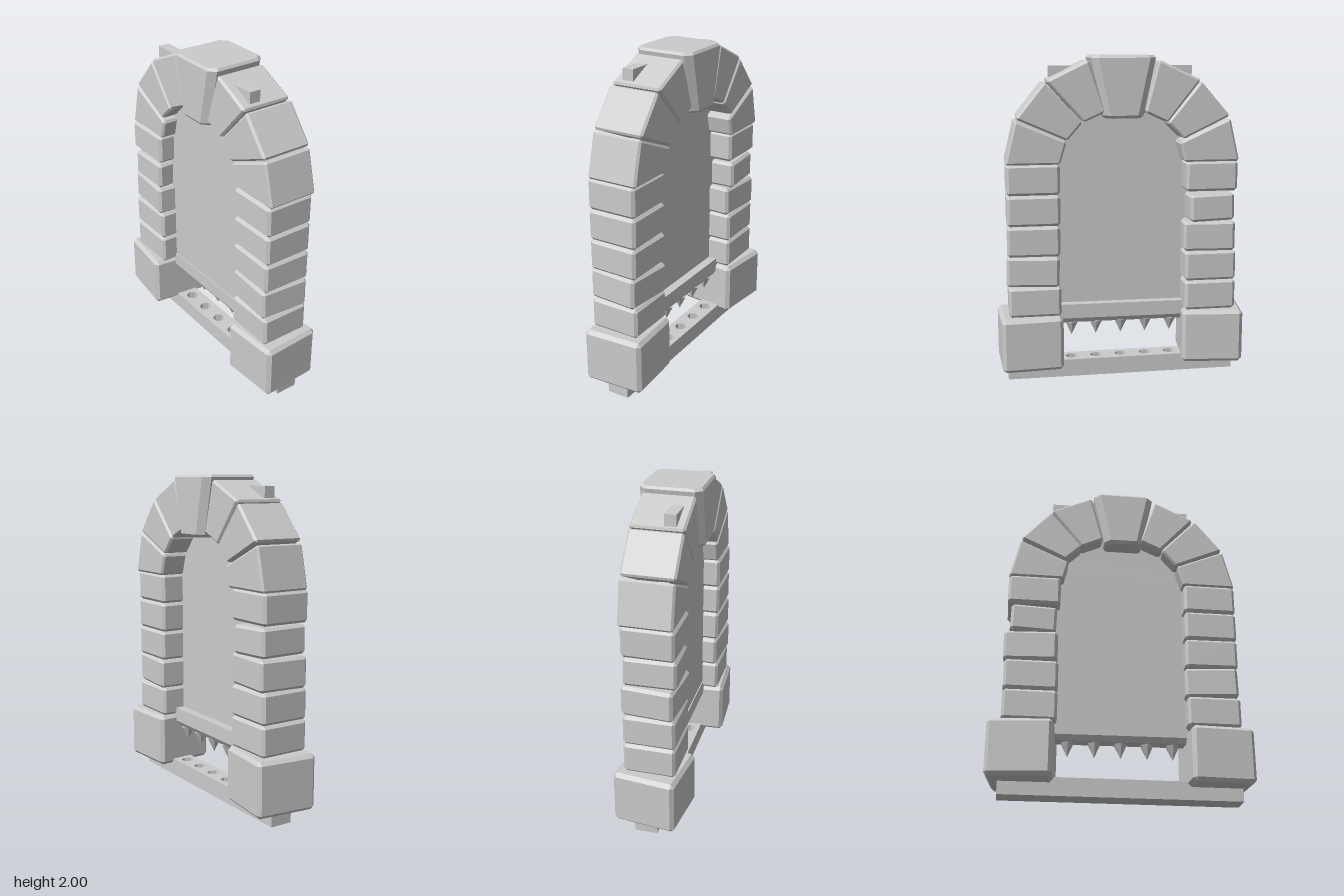
import * as THREE from 'three';
import { ConvexGeometry } from 'three/addons/geometries/ConvexGeometry.js';

const material = new THREE.MeshStandardMaterial({ color: 0xcccccc, flatShading: true });

// Chamfered stone from four corners in the xy plane, turned about its own centre
function stone(name, corners, zBack, zFront, chamfer, turn = 0, tilt = 0) {
  const c = corners.map(([x, y]) => new THREE.Vector2(x, y));
  const mid = c.reduce((s, p) => s.add(p), new THREE.Vector2()).multiplyScalar(0.25);
  const half = (zFront - zBack) / 2;
  const points = [];
  c.forEach((p, i) => {
    const a = c[(i + 1) % 4].clone().sub(p).setLength(chamfer);
    const b = c[(i + 3) % 4].clone().sub(p).setLength(chamfer);
    const q = p.clone().sub(mid);
    for (const s of [-1, 1]) {
      points.push(new THREE.Vector3(q.x + a.x, q.y + a.y, s * (half - chamfer)));
      points.push(new THREE.Vector3(q.x + b.x, q.y + b.y, s * (half - chamfer)));
      points.push(new THREE.Vector3(q.x + a.x + b.x, q.y + a.y + b.y, s * half));
    }
  });
  const mesh = new THREE.Mesh(new ConvexGeometry(points), material);
  mesh.name = name;
  mesh.position.set(mid.x, mid.y, (zBack + zFront) / 2);
  mesh.rotation.set(0, turn, tilt);
  return mesh;
}

const rect = (x0, x1, y0, y1) => [[x0, y0], [x1, y0], [x1, y1], [x0, y1]];

function box(name, w, h, d, x, y, z) {
  const mesh = new THREE.Mesh(new THREE.BoxGeometry(w, h, d), material);
  mesh.name = name;
  mesh.position.set(x, y, z);
  return mesh;
}

export function createModel() {
  const group = new THREE.Group();
  const spikeXs = [-0.307, -0.147, 0.011, 0.17, 0.325];

  // Sill with hexagonal sockets for the spikes
  const sillShape = new THREE.Shape();
  sillShape.moveTo(-0.705, -0.05).lineTo(0.73, -0.05).lineTo(0.73, 0.09).lineTo(-0.705, 0.09).closePath();
  for (const x of spikeXs) {
    const hole = new THREE.Path();
    for (let i = 0; i < 6; i++) {
      const a = -i * Math.PI / 3;
      const px = x + 0.04 * Math.cos(a), py = 0.02 + 0.04 * Math.sin(a);
      i ? hole.lineTo(px, py) : hole.moveTo(px, py);
    }
    hole.closePath();
    sillShape.holes.push(hole);
  }
  const sillGeometry = new THREE.ExtrudeGeometry(sillShape, { depth: 0.08, bevelEnabled: false });
  sillGeometry.rotateX(-Math.PI / 2);
  const sill = new THREE.Mesh(sillGeometry, material);
  sill.name = 'sillTop';
  sill.position.y = 0.03;
  group.add(sill, box('sillBottom', 1.435, 0.03, 0.14, 0.0125, 0.015, -0.02));

  // Base stones
  group.add(stone('leftBase', rect(0.397, 0.775, 0.078, 0.416), -0.193, 0.187, 0.022, 0.06));
  group.add(stone('rightBase', rect(-0.764, -0.381, 0.078, 0.416), -0.193, 0.192, 0.022, -0.11));

  // Column stones, with a few set slightly askew
  const askew = { '1,1': [-0.07, 0.02], '1,2': [-0.02, 0], '-1,2': [-0.07, 0], '-1,3': [0.03, -0.03] };
  for (const side of [1, -1]) {
    for (let i = 0; i < 5; i++) {
      const y = 0.418 + i * 0.189;
      const [turn, tilt] = askew[`${side},${i}`] || [0, 0];
      const small = side < 0 && i === 3;
      const x0 = side > 0 ? 0.396 : small ? -0.683 : -0.703;
      const x1 = side > 0 ? 0.718 : small ? -0.404 : -0.38;
      group.add(stone(side > 0 ? 'leftColumnStone' : 'rightColumnStone',
        rect(x0, x1, y, y + (small ? 0.172 : 0.187)), -0.155, 0.16, 0.017, turn, tilt));
    }
  }

  // Arch stones
  const archStones = [
    [[0.395, 1.36], [0.724, 1.36], [0.658, 1.624], [0.355, 1.495]],
    [[0.352, 1.5], [0.656, 1.633], [0.483, 1.848], [0.258, 1.608]],
    [[0.252, 1.608], [0.472, 1.852], [0.22, 1.975], [0.118, 1.668]],
    [[-0.706, 1.36], [-0.365, 1.36], [-0.335, 1.482], [-0.645, 1.624]],
    [[-0.357, 1.5], [-0.254, 1.6], [-0.458, 1.848], [-0.642, 1.638]],
    [[-0.256, 1.6], [-0.118, 1.664], [-0.198, 1.975], [-0.458, 1.855]],
  ];
  for (const corners of archStones) group.add(stone('archStone', corners, -0.168, 0.152, 0.013));

  // Keystone: tapered octagonal block, listed as height, half width, half depth
  const keyPoints = [];
  const levels = [[2, 0.182, 0.175], [1.985, 0.193, 0.187], [1.648, 0.122, 0.187], [1.63, 0.108, 0.172]];
  for (const [y, w, d] of levels) {
    for (const sx of [-1, 1]) {
      for (const sz of [-1, 1]) {
        keyPoints.push(new THREE.Vector3(sx * w, y, sz * (d - 0.04)));
        keyPoints.push(new THREE.Vector3(sx * (w - 0.04), y, sz * d));
      }
    }
  }
  const keystone = new THREE.Mesh(new ConvexGeometry(keyPoints), material);
  keystone.name = 'keystone';
  keystone.position.set(0.012, 0, -0.01);
  group.add(keystone);

  // Pegs at the shoulders of the arch
  group.add(box('leftPeg', 0.18, 0.068, 0.07, 0.353, 1.902, 0.058));
  group.add(box('rightPeg', 0.18, 0.068, 0.07, -0.355, 1.902, 0.067));

  // Panel filling the arch
  const panelShape = new THREE.Shape();
  panelShape.moveTo(-0.46, 0.4).lineTo(0.46, 0.4).lineTo(0.46, 1.36);
  panelShape.absellipse(0, 1.36, 0.46, 0.42, 0, Math.PI, false);
  panelShape.closePath();
  const panel = new THREE.Mesh(
    new THREE.ExtrudeGeometry(panelShape, { depth: 0.06, bevelEnabled: false, curveSegments: 16 }), material);
  panel.name = 'panel';
  panel.position.z = -0.005;
  group.add(panel);

  // Bottom rail with chamfered lower edges, and its spikes
  const railShape = new THREE.Shape();
  railShape.moveTo(-0.062, 0.46).lineTo(-0.062, 0.37).lineTo(-0.04, 0.338);
  railShape.lineTo(0.04, 0.338).lineTo(0.062, 0.37).lineTo(0.062, 0.46).closePath();
  const railGeometry = new THREE.ExtrudeGeometry(railShape, { depth: 0.86, bevelEnabled: false });
  railGeometry.translate(0, 0, -0.43).rotateY(Math.PI / 2);
  const rail = new THREE.Mesh(railGeometry, material);
  rail.name = 'bottomRail';
  rail.rotation.z = 0.006;
  group.add(rail);
  for (const x of spikeXs) {
    const spike = new THREE.Mesh(new THREE.ConeGeometry(0.045, 0.09, 6), material);
    spike.name = 'spike';
    spike.rotation.x = Math.PI;
    spike.position.set(x, 0.296, -0.012);
    group.add(spike);
  }
  return group;
}
